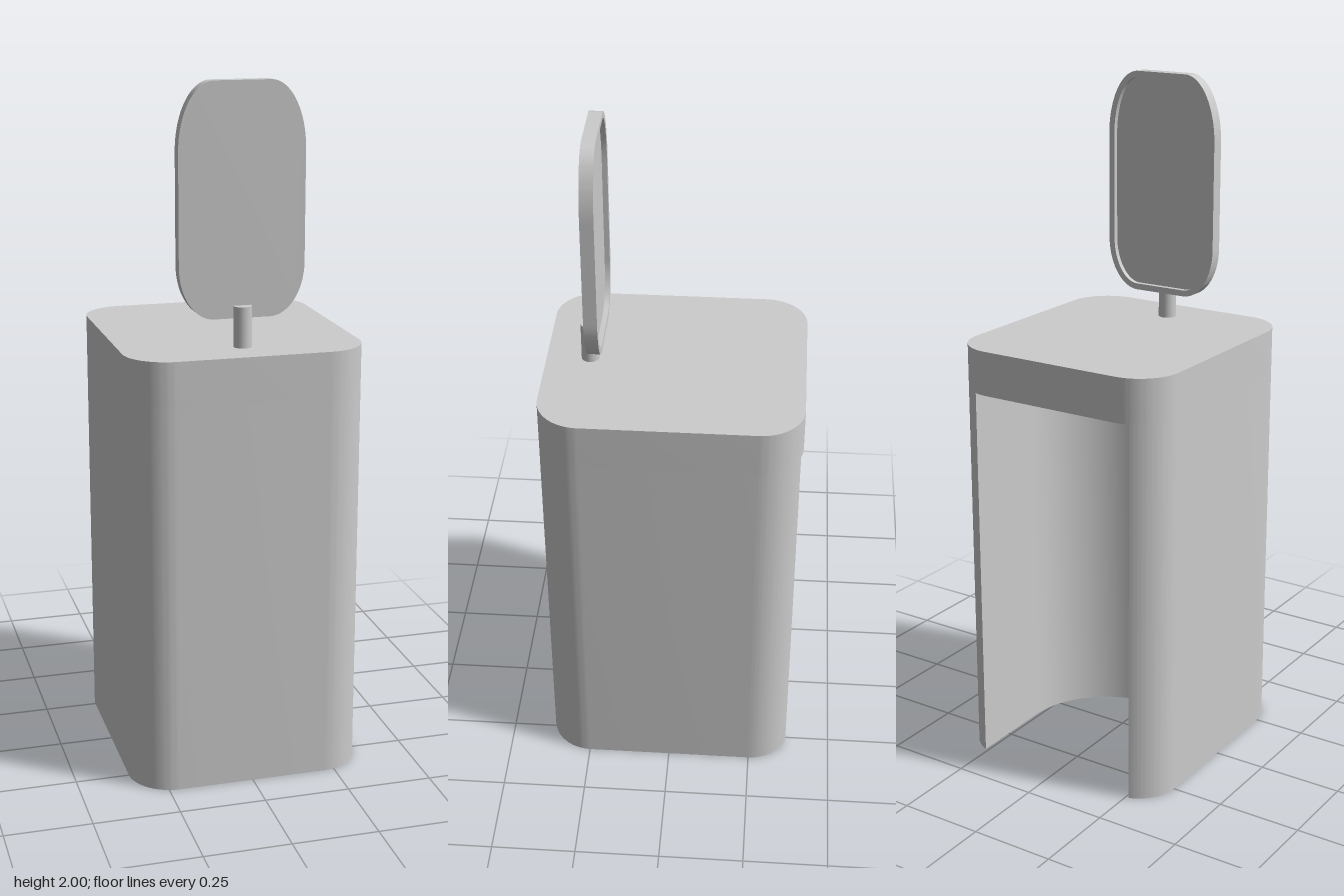
import * as THREE from 'three';
import { toCreasedNormals } from 'three/addons/utils/BufferGeometryUtils.js';

const W = 0.343, D = 0.373, R = 0.125;      // body half width, half depth, corner radius
const BODY_TOP = 1.27, SLOT_TOP = 1.14;
const SLOT = 0.26, SLOT_CENTRE = 0.1;       // slot half width, centre of its round end

const material = new THREE.MeshStandardMaterial({ color: 0xcccccc });

function extrude(shape, depth) {
  const geometry = new THREE.ExtrudeGeometry(shape, { depth, bevelEnabled: false, curveSegments: 14 });
  return toCreasedNormals(geometry, 0.6);
}

function addMesh(group, name, geometry) {
  const mesh = new THREE.Mesh(geometry, material);
  mesh.name = name;
  group.add(mesh);
  return mesh;
}

// Rounded plan of the body (shape +y is the back); slotted leaves the back open
function bodyPlan(slotted) {
  const cx = W - R, cy = D - R, q = Math.PI / 2;
  const t = slotted ? Math.acos((SLOT - cx) / R) : q;
  const s = new THREE.Shape();
  s.absarc(-cx, cy, R, Math.PI - t, Math.PI, false);
  s.absarc(-cx, -cy, R, Math.PI, 3 * q, false);
  s.absarc(cx, -cy, R, 3 * q, 4 * q, false);
  s.absarc(cx, cy, R, 0, t, false);
  if (slotted) s.absarc(0, SLOT_CENTRE, SLOT, 0, Math.PI, true);
  s.closePath();
  return s;
}

// Tall plate outline with elliptical corners, shrunk by an inset
function plateOutline(Type, inset) {
  const x = 0.08, rx = 0.1 - inset, q = Math.PI / 2;
  const top = 0.19 - inset, bottom = 0.15 - inset;
  const yt = 1.81, yb = 1.5;
  const s = new Type();
  s.absellipse(x, yt, rx, top, 0, q, false, 0);
  s.absellipse(-x, yt, rx, top, q, 2 * q, false, 0);
  s.absellipse(-x, yb, rx, bottom, 2 * q, 3 * q, false, 0);
  s.absellipse(x, yb, rx, bottom, 3 * q, 4 * q, false, 0);
  s.closePath();
  return s;
}

export function createModel() {
  const model = new THREE.Group();
  model.name = 'standWithPlate';

  // Body: slotted lower part under a solid top
  const body = new THREE.Group();
  body.name = 'body';
  model.add(body);
  const lower = addMesh(body, 'slottedBase', extrude(bodyPlan(true), SLOT_TOP));
  lower.rotation.x = -Math.PI / 2;
  const cap = addMesh(body, 'topBlock', extrude(bodyPlan(false), BODY_TOP - SLOT_TOP));
  cap.rotation.x = -Math.PI / 2;
  cap.position.y = SLOT_TOP;

  // Post holding the plate
  const post = addMesh(model, 'post', new THREE.CylinderGeometry(0.026, 0.026, 0.125, 24));
  post.position.set(0, 1.3235, 0.247);

  // Upright plate with a raised rim on its back
  const plate = new THREE.Group();
  plate.name = 'plate';
  model.add(plate);
  const panel = addMesh(plate, 'panel', extrude(plateOutline(THREE.Shape, 0), 0.023));
  panel.position.z = 0.218;
  const rimShape = plateOutline(THREE.Shape, 0);
  rimShape.holes.push(plateOutline(THREE.Path, 0.018));
  const rim = addMesh(plate, 'backRim', extrude(rimShape, 0.015));
  rim.position.z = 0.203;

  return model;
}
